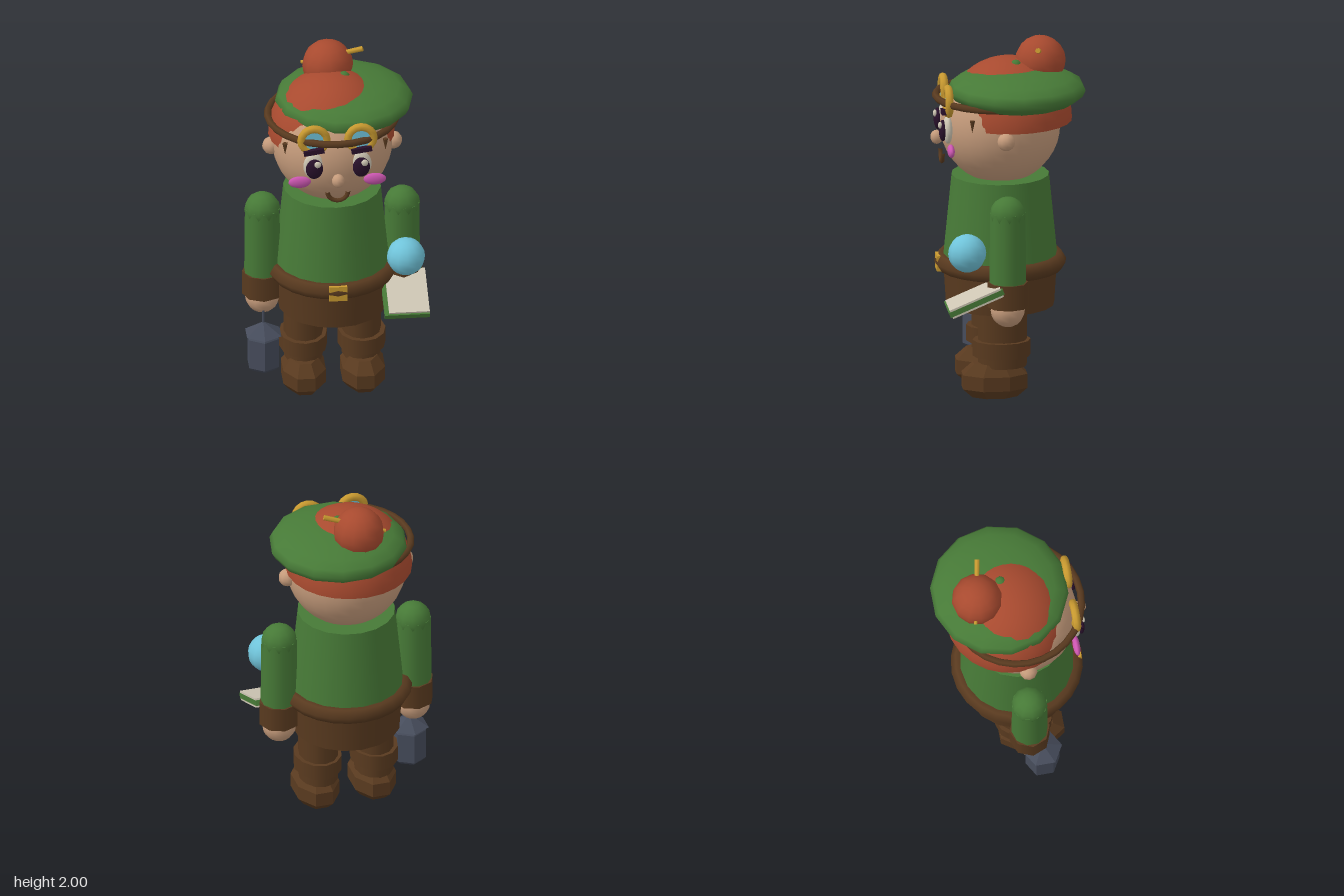
import * as THREE from 'three';

const mat = (name, color, side = THREE.FrontSide) => {
  const m = new THREE.MeshStandardMaterial({ color, side });
  m.name = name;
  return m;
};

// faceted normals for low-poly parts
const flat = (geo) => {
  const g = geo.index ? geo.toNonIndexed() : geo;
  g.computeVertexNormals();
  return g;
};

export function createModel() {
  const skin = mat('skin', 0xc59b7b);
  const green = mat('green', 0x477a37);
  const brown = mat('brown', 0x593a1f);
  const red = mat('red', 0xa84a2f, THREE.DoubleSide);
  const gold = mat('gold', 0xc99a30);
  const cyan = mat('cyan', 0x70c4da);
  const cream = mat('cream', 0xcdc5b3);
  const slate = mat('slate', 0x464c5b);
  const dark = mat('dark', 0x28102a);
  const pink = mat('pink', 0xcb56b0);

  const root = new THREE.Group();
  root.name = 'figure';
  const body = new THREE.Group();
  body.name = 'body';
  body.position.set(-0.007, 0, 0.033);
  root.add(body);

  const add = (name, geo, material, x, y, z, parent = body) => {
    const m = new THREE.Mesh(geo, material);
    m.name = name;
    m.position.set(x, y, z);
    parent.add(m);
    return m;
  };
  const ball = (name, material, x, y, z, r, scale = [1, 1, 1], w = 14, h = 10) => {
    const m = add(name, new THREE.SphereGeometry(r, w, h), material, x, y, z);
    m.scale.set(...scale);
    return m;
  };
  const cyl = (name, material, rTop, rBottom, y0, y1, x, z, sides) =>
    add(name, new THREE.CylinderGeometry(rTop, rBottom, y1 - y0, sides), material, x, (y0 + y1) / 2, z);
  const lathe = (points, sides, start = 0) => flat(new THREE.LatheGeometry(
    points.map(([r, y]) => new THREE.Vector2(r, y)), sides, start));

  // torso, belt and trousers
  cyl('tunic', green, 0.27, 0.322, 0.7, 1.225, 0, 0, 18);
  cyl('trouserSeat', brown, 0.315, 0.3, 0.485, 0.72, 0, 0, 18);
  add('belt', new THREE.TorusGeometry(0.315, 0.05, 6, 24), brown, 0, 0.73, 0).rotation.x = Math.PI / 2;
  add('buckle', new THREE.BoxGeometry(0.1, 0.088, 0.05), gold, 0, 0.727, 0.33);

  // legs, cuffs and boots
  const c = 1 / Math.cos(Math.PI / 8);
  const bootShape = lathe([[0, 0], [0.7 * c, 0], [c, 0.05], [c, 0.13], [0.65 * c, 0.19], [0, 0.195]], 8, Math.PI / 8);
  for (const s of [-1, 1]) {
    cyl('leg', brown, 0.11, 0.108, 0.17, 0.5, s * 0.16, 0.005, 12).scale.z = 1.25;
    cyl('legCuff', brown, 0.132, 0.132, 0.23, 0.32, s * 0.162, 0.01, 12).scale.z = 1.22;
    add('boot', bootShape, brown, s * 0.164, 0, 0.05).scale.set(0.118, 1, 0.178);
  }

  // arms and hands
  for (const s of [-1, 1]) {
    const x = s * 0.387;
    cyl('sleeve', green, 0.098, 0.103, 0.6, 1.1, x, 0, 10);
    ball('shoulder', green, x, 1.09, 0, 0.1, [1, 1, 1], 10, 8);
    cyl('sleeveCuff', brown, 0.113, 0.113, 0.565, 0.705, x, 0, 8);
    ball('hand', skin, x, 0.545, 0, 0.095, [1, 1, 1], 12, 10);
  }

  // head and face
  ball('head', skin, 0, 1.51, 0, 0.333, [1, 1, 1], 28, 20);
  ball('nose', skin, 0, 1.44, 0.352, 0.036, [1, 1.1, 1], 10, 8);
  const smile = add('mouth', new THREE.TorusGeometry(0.057, 0.013, 6, 12, Math.PI), brown, 0, 1.36, 0.325);
  smile.rotation.z = Math.PI;
  for (const s of [-1, 1]) {
    ball('ear', skin, s * 0.338, 1.49, 0.003, 0.05, [1, 1, 1], 10, 8);
    ball('eyeWhite', cream, s * 0.13, 1.515, 0.304, 0.08, [0.74, 1, 0.36]);
    ball('pupil', dark, s * 0.13, 1.51, 0.332, 0.06, [0.8, 1, 0.37]);
    ball('eyeGlint', cream, s * 0.13 + 0.017, 1.545, 0.349, 0.02, [1, 1, 0.6], 8, 6);
    ball('cheek', pink, s * 0.208, 1.412, 0.295, 0.063, [1, 0.56, 0.32]);
    add('eyebrow', new THREE.BoxGeometry(0.115, 0.028, 0.03), dark, s * 0.132, 1.617, 0.325).rotation.z = 0.15;
    const lock = add('sideLock', new THREE.ConeGeometry(0.016, 0.07, 5), brown, s * 0.278, 1.565, 0.185);
    lock.rotation.x = Math.PI;
  }

  // hair cap, its crown showing through the beret
  add('hair', new THREE.SphereGeometry(0.35, 24, 12, 0, Math.PI * 2, 0, Math.PI / 2), red, 0, 1.535, -0.048);

  // beret with pompom, stalk and pin
  ball('beret', green, 0.073, 1.722, -0.085, 0.382, [1, 0.312, 1], 14, 10);
  ball('beretStalk', green, 0.073, 1.852, -0.078, 0.035, [1, 1, 1], 8, 6);
  ball('pompom', red, -0.003, 1.859, -0.223, 0.141, [1, 1, 1], 12, 10);
  const p0 = new THREE.Vector3(-0.148, 1.86, -0.258);
  const p1 = new THREE.Vector3(0.187, 1.966, -0.188);
  const pinDir = p1.clone().sub(p0);
  const pin = add('hatPin', new THREE.CylinderGeometry(0.015, 0.01, pinDir.length(), 6), gold, 0, 0, 0);
  pin.position.copy(p0).add(p1).multiplyScalar(0.5);
  pin.quaternion.setFromUnitVectors(new THREE.Vector3(0, 1, 0), pinDir.normalize());

  // goggles on a strap round the head
  add('goggleStrap', new THREE.TorusGeometry(0.357, 0.02, 6, 28), brown, 0, 1.672, 0).rotation.x = Math.PI / 2;
  for (const s of [-1, 1]) {
    add('goggleRim', new THREE.TorusGeometry(0.07, 0.023, 8, 16), gold, s * 0.13, 1.676, 0.302);
    const lens = add('goggleLens', new THREE.CylinderGeometry(0.062, 0.062, 0.02, 16), cyan, s * 0.13, 1.676, 0.305);
    lens.rotation.x = Math.PI / 2;
  }

  // hanging lantern
  const lantern = new THREE.Group();
  lantern.name = 'lantern';
  lantern.position.set(-0.388, 0, 0.072);
  body.add(lantern);
  add('lanternCase', lathe([[0, 0.135], [0.075, 0.135], [0.095, 0.155], [0.095, 0.33], [0.078, 0.355], [0, 0.355]], 6),
    slate, 0, 0, 0, lantern);
  add('lanternRoof', flat(new THREE.ConeGeometry(0.11, 0.07, 6)), slate, 0, 0.385, 0, lantern);
  add('lanternHandle', new THREE.CylinderGeometry(0.007, 0.007, 0.12, 6), slate, 0, 0.46, 0, lantern);

  // tilted book
  const book = new THREE.Group();
  book.name = 'book';
  book.position.set(0.385, 0.618, 0.185);
  book.rotation.x = 0.4;
  body.add(book);
  add('bookCover', new THREE.BoxGeometry(0.25, 0.03, 0.325), green, 0, 0, 0, book);
  for (const s of [-1, 1]) {
    add('bookPages', new THREE.BoxGeometry(0.225, 0.012, 0.305), cream, 0.0115, s * 0.02, 0, book);
  }

  // floating orb above the book
  ball('orb', cyan, 0.387, 0.875, 0.225, 0.106, [1, 1, 1], 12, 10);

  return root;
}
